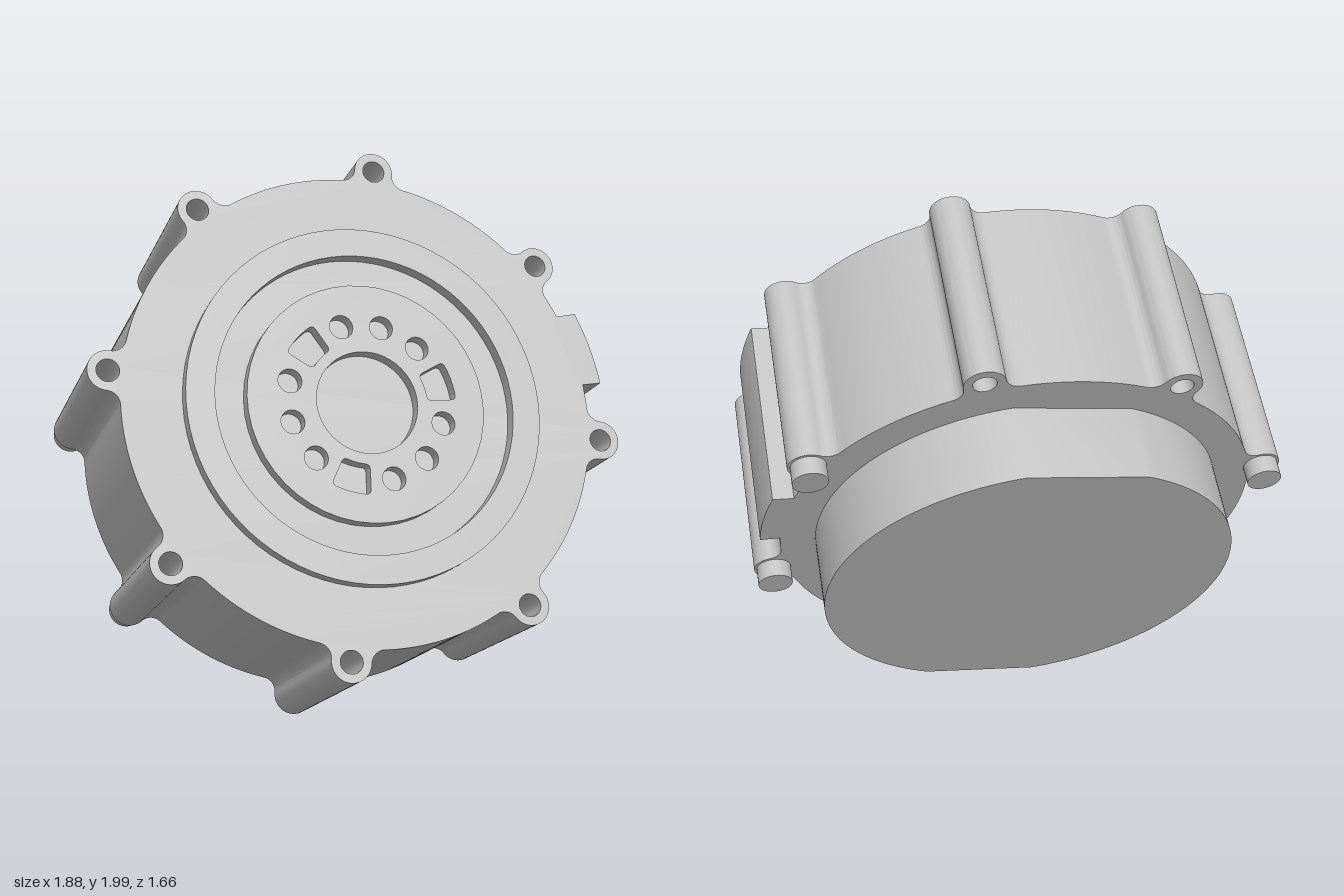
import * as THREE from 'three';
import { toCreasedNormals } from 'three/addons/utils/BufferGeometryUtils.js';

const rad = THREE.MathUtils.degToRad;
const BODY_R = 0.845, DEPTH = 0.715;             // main housing
const LUG_C = 0.89, LUG_R = 0.07, FILLET = 0.05; // bolt lugs around the rim
const LUG_ANGLES = [-12.4, 32.6, 77.6, 122.6, 167.6, 212.6, 257.6, 302.6];
const PINNED = [0, 1, 4, 5];                     // lugs that carry a rear pin
const BOSS = 0.05;                               // height of the front bosses

const polar = (r, a) => [r * Math.cos(a), r * Math.sin(a)];

function circle(r, x = 0, y = 0) {
  return new THREE.Path().absarc(x, y, r, 0, Math.PI * 2, false);
}

export function createModel() {
  const metal = new THREE.MeshStandardMaterial({ color: 0xc0c0c0 });
  metal.name = 'grey metal';
  const model = new THREE.Group();
  model.name = 'housing';

  const add = (name, shape, z, depth, curveSegments = 12) => {
    const geo = new THREE.ExtrudeGeometry(shape, { depth, bevelEnabled: false, curveSegments });
    const mesh = new THREE.Mesh(toCreasedNormals(geo, 0.5), metal);
    mesh.name = name;
    mesh.position.z = z;
    model.add(mesh);
    return mesh;
  };

  // Housing outline: rim arcs, filleted lugs and one raised pad
  const fc = BODY_R + FILLET;
  const delta = Math.acos((fc * fc + LUG_C * LUG_C - (LUG_R + FILLET) ** 2) / (2 * fc * LUG_C));
  const a1 = Math.atan2(fc * Math.sin(delta), LUG_C - fc * Math.cos(delta));
  const outline = new THREE.Shape();
  LUG_ANGLES.forEach((deg, i) => {
    const t = rad(deg);
    const next = t + Math.PI / 4;
    outline.absarc(...polar(fc, t - delta), FILLET, t + Math.PI - delta, t + a1, true);
    outline.absarc(...polar(LUG_C, t), LUG_R, t + a1 - Math.PI, t + Math.PI - a1, false);
    outline.absarc(...polar(fc, t + delta), FILLET, t - a1, t + delta - Math.PI, true);
    if (i === 0) {
      outline.absarc(0, 0, BODY_R, t + delta, rad(1.3), false);
      outline.absarc(0, 0, 0.915, rad(1.3), rad(18.3), false);
      outline.absarc(0, 0, BODY_R, rad(19.5), next - delta, false);
    } else {
      outline.absarc(0, 0, BODY_R, t + delta, next - delta, false);
    }
    outline.holes.push(circle(0.04, ...polar(LUG_C, t)));
  });
  add('body', outline, -DEPTH, DEPTH);

  // Pins behind four of the lugs
  for (const i of PINNED) {
    const pin = new THREE.Mesh(new THREE.CylinderGeometry(0.061, 0.061, 0.067, 32), metal);
    pin.name = 'rearPin';
    pin.rotation.x = Math.PI / 2;
    const [x, y] = polar(LUG_C, rad(LUG_ANGLES[i]));
    pin.position.set(x, y, -DEPTH - 0.0315);
    model.add(pin);
  }

  // Rear cover: a disc with two opposite flats
  const flat = rad(100), half = rad(16.8);
  const cover = new THREE.Shape();
  cover.absarc(0, 0, 0.722, flat + half, flat + Math.PI - half, false);
  cover.absarc(0, 0, 0.722, flat + Math.PI + half, flat + 2 * Math.PI - half, false);
  cover.closePath();
  add('rearCover', cover, -0.982, 0.982 - DEPTH + 0.002, 32);

  // Outer front ring, leaving a groove around the hub plate
  const ring = new THREE.Shape().absarc(0, 0, 0.635, 0, Math.PI * 2, false);
  ring.holes.push(circle(0.535));
  add('frontRing', ring, 0, BOSS, 40);

  // Hub plate with centre bore, small round holes and three curved slots
  const hub = new THREE.Shape().absarc(0, 0, 0.425, 0, Math.PI * 2, false);
  hub.holes.push(circle(0.182));
  for (let i = 0; i < 12; i++) {
    const a = rad(10 + 30 * i);
    if (i % 4) {
      hub.holes.push(circle(0.042, ...polar(0.28, a)));
    } else {
      const r0 = 0.22, r1 = 0.325, w = rad(12.5), c = 0.018;
      const slot = new THREE.Path();
      slot.moveTo(...polar(r1 - c, a - w));
      slot.quadraticCurveTo(...polar(r1, a - w), ...polar(r1, a - w + c / r1));
      slot.absarc(0, 0, r1, a - w + c / r1, a + w - c / r1, false);
      slot.quadraticCurveTo(...polar(r1, a + w), ...polar(r1 - c, a + w));
      slot.lineTo(...polar(r0 + c, a + w));
      slot.quadraticCurveTo(...polar(r0, a + w), ...polar(r0, a + w - c / r0));
      slot.absarc(0, 0, r0, a + w - c / r0, a - w + c / r0, true);
      slot.quadraticCurveTo(...polar(r0, a - w), ...polar(r0 + c, a - w));
      slot.closePath();
      hub.holes.push(slot);
    }
  }
  add('hubPlate', hub, 0, BOSS, 24);

  // Tilt the whole housing back
  model.rotation.x = -rad(28.9);
  model.position.set(0, 1.175, 0.372);
  const root = new THREE.Group();
  root.name = 'tiltedHousing';
  root.add(model);
  return root;
}
